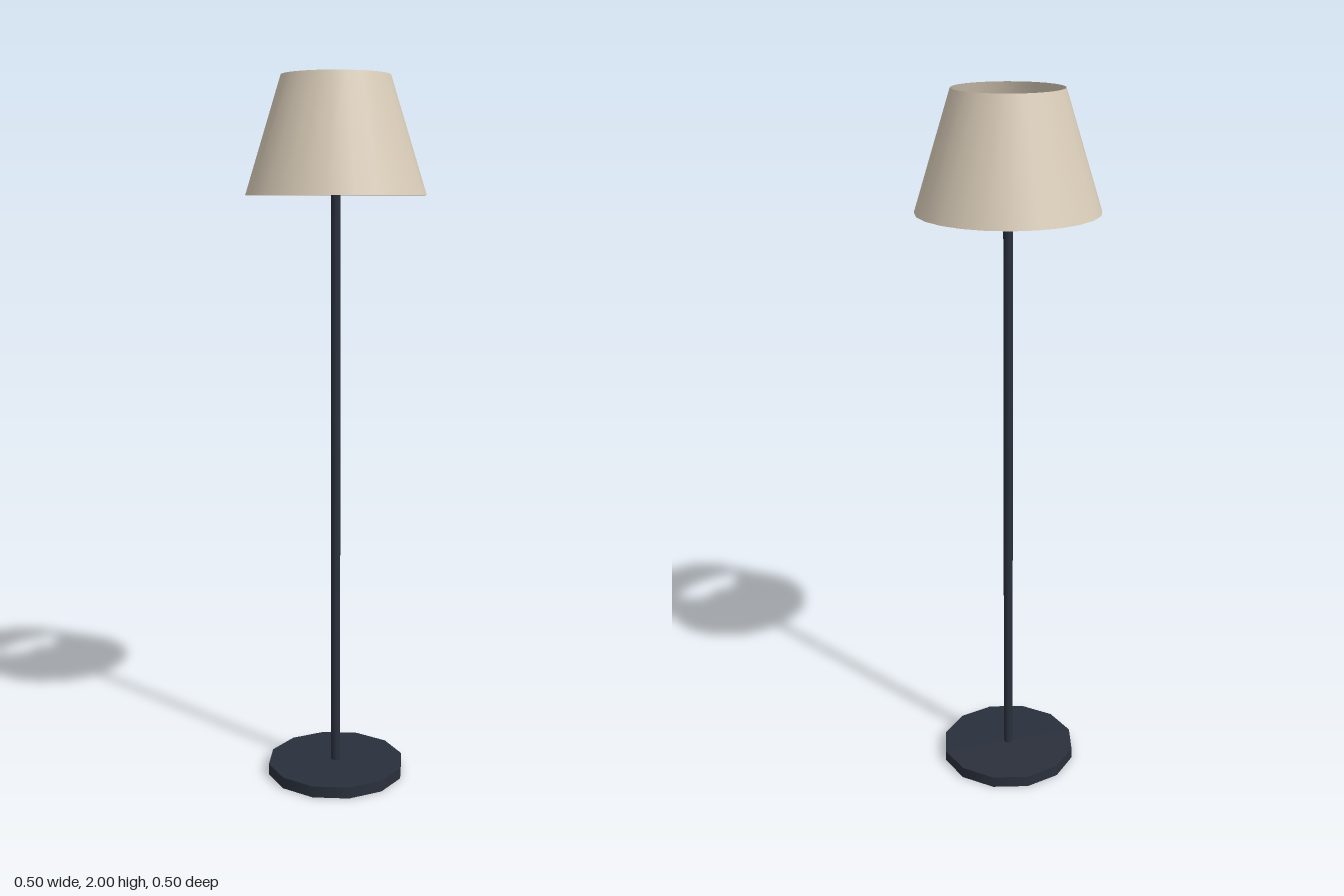
import * as THREE from 'three';

export function createModel() {
  const model = new THREE.Group();
  const metal = new THREE.MeshStandardMaterial({ color: 0x2a303c });
  const fabric = new THREE.MeshStandardMaterial({ color: 0xd9ccb8, side: THREE.DoubleSide });
  const glow = new THREE.MeshStandardMaterial({ color: 0xffd8a0 });

  const add = (name, geometry, material, y) => {
    const mesh = new THREE.Mesh(geometry, material);
    mesh.name = name;
    mesh.position.y = y;
    model.add(mesh);
  };

  // Flat disc foot
  add('base', new THREE.CylinderGeometry(0.2, 0.2, 0.033, 12), metal, 0.0165);

  // Slim pole from the foot up into the bulb
  const poleBottom = 0.02, poleTop = 1.7;
  add('pole', new THREE.CylinderGeometry(0.0133, 0.0133, poleTop - poleBottom, 8), metal, (poleTop + poleBottom) / 2);

  // Round bulb inside the shade
  add('bulb', new THREE.SphereGeometry(0.067, 12, 12), glow, 1.755);

  // Tapered shade, open at both ends
  add('shade', new THREE.CylinderGeometry(0.15, 0.25, 0.32, 24, 1, true), fabric, 1.84);

  return model;
}
